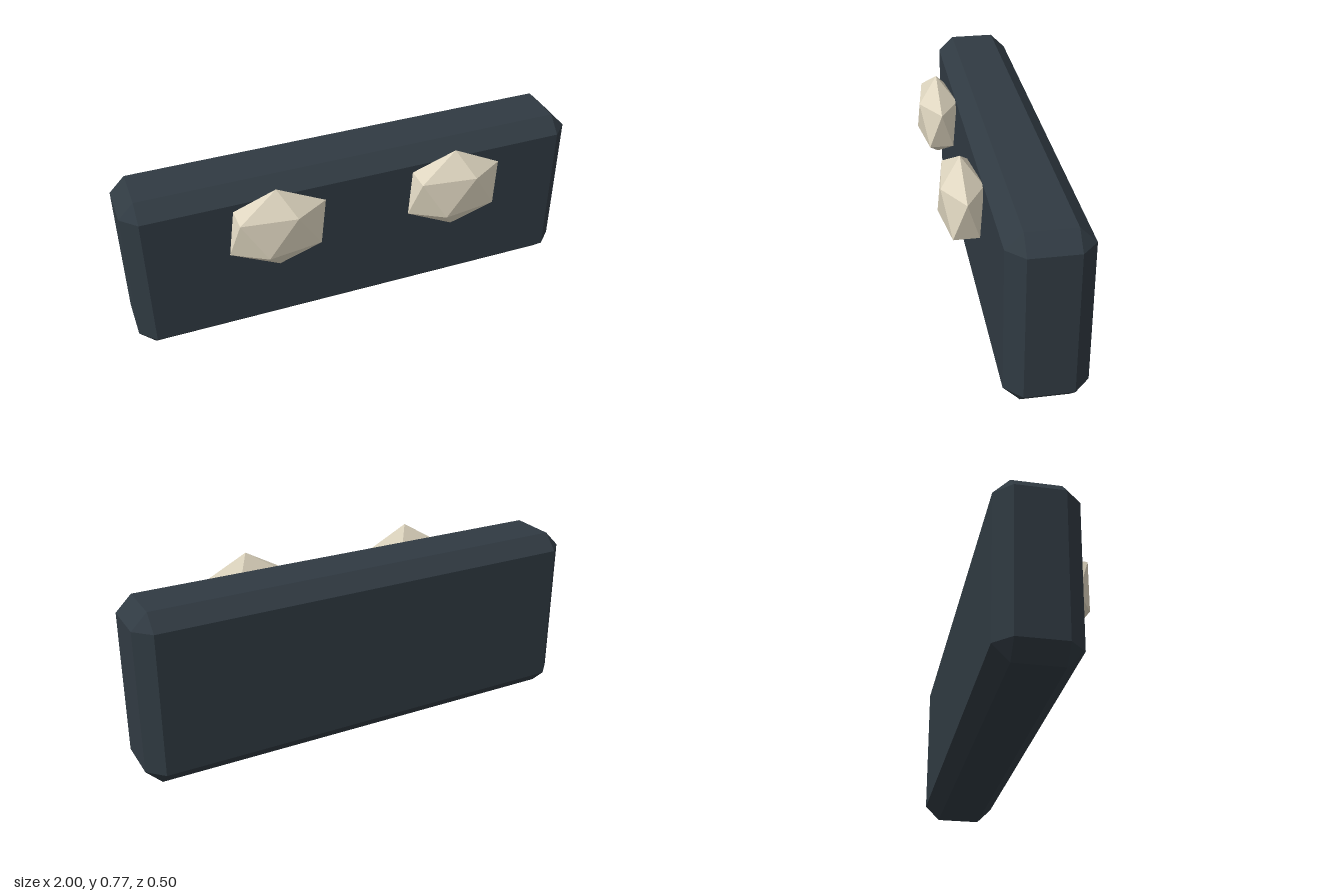
import * as THREE from 'three';
import { ConvexGeometry } from 'three/addons/geometries/ConvexGeometry.js';

const slate = new THREE.MeshStandardMaterial({ color: 0x303a42 });
slate.name = 'dark slate';
const cream = new THREE.MeshStandardMaterial({ color: 0xdfd6c0 });
cream.name = 'cream';

// Box with every edge cut at 45 degrees: three points at each corner
function chamferedBox(hx, hy, hz, c) {
  const points = [];
  for (const x of [-1, 1]) for (const y of [-1, 1]) for (const z of [-1, 1]) {
    points.push(
      new THREE.Vector3(x * hx, y * (hy - c), z * (hz - c)),
      new THREE.Vector3(x * (hx - c), y * hy, z * (hz - c)),
      new THREE.Vector3(x * (hx - c), y * (hy - c), z * hz));
  }
  return new ConvexGeometry(points);
}

// Icosahedron standing on a vertex: two poles and two staggered rings of five
function uprightIcosahedron() {
  const h = 1 / Math.sqrt(5), r = 2 * h;
  const points = [new THREE.Vector3(0, 1, 0), new THREE.Vector3(0, -1, 0)];
  for (let i = 0; i < 10; i++) {
    const a = i * Math.PI / 5;
    points.push(new THREE.Vector3(r * Math.cos(a), i % 2 ? -h : h, r * Math.sin(a)));
  }
  return new ConvexGeometry(points);
}

export function createModel() {
  const model = new THREE.Group();
  model.name = 'slabWithKnobs';

  // Slab
  const slab = new THREE.Mesh(chamferedBox(1, 0.375, 0.166, 0.067), slate);
  slab.name = 'slab';
  slab.position.set(0, 0.375, -0.081);
  model.add(slab);

  // Two flattened faceted knobs, both turned the same way
  const knobGeometry = uprightIcosahedron().scale(0.232, 0.19, 0.1);
  for (const [name, x] of [['leftKnob', 0.392], ['rightKnob', -0.392]]) {
    const knob = new THREE.Mesh(knobGeometry, cream);
    knob.name = name;
    knob.position.set(x, 0.585, 0.163);
    model.add(knob);
  }
  return model;
}
